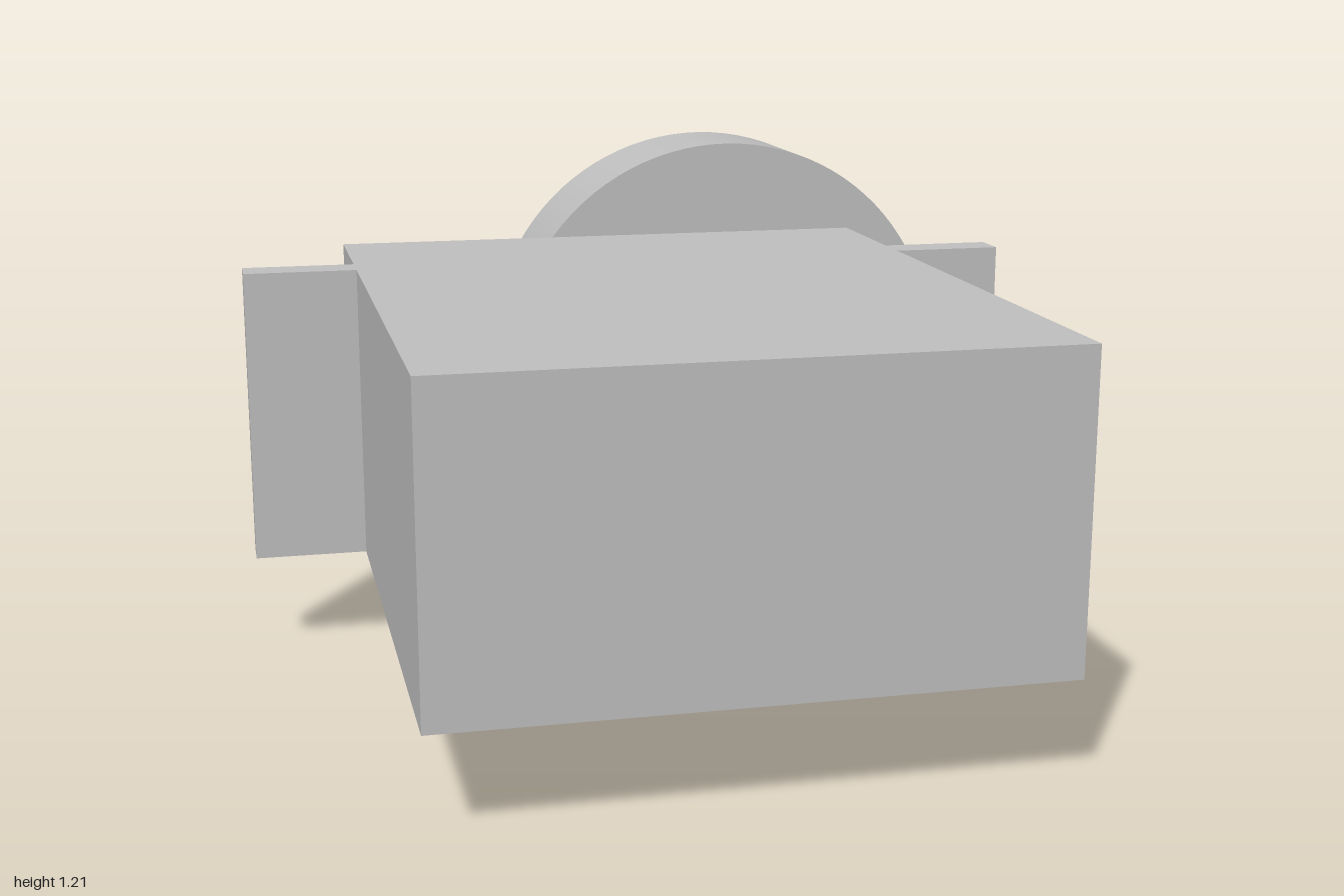
import * as THREE from 'three';

export function createModel() {
  const model = new THREE.Group();
  const grey = new THREE.MeshStandardMaterial({ color: 0xc0c0c0 });
  grey.name = 'light grey';

  // Block with a thin mounting ear on each side, as one plan outline (x, z)
  const half = [[0.697, 1], [0.697, -0.245], [0.97, -0.245], [0.97, -0.337], [0.697, -0.337], [0.697, -0.673]];
  const outline = [...half, ...half.map(([x, z]) => [-x, z]).reverse()];
  const shape = new THREE.Shape(outline.map(([x, z]) => new THREE.Vector2(x, -z)));
  const bodyGeometry = new THREE.ExtrudeGeometry(shape, { depth: 0.72, bevelEnabled: false });
  bodyGeometry.rotateX(-Math.PI / 2);
  const body = new THREE.Mesh(bodyGeometry, grey);
  body.name = 'bodyWithEars';
  body.position.y = 0.25;
  model.add(body);

  // Round disc set off-centre against the back face
  const discGeometry = new THREE.CylinderGeometry(0.606, 0.606, 0.327, 96);
  discGeometry.rotateX(Math.PI / 2);
  const disc = new THREE.Mesh(discGeometry, grey);
  disc.name = 'rearDisc';
  disc.position.set(0.349, 0.606, -0.8365);
  model.add(disc);

  return model;
}
